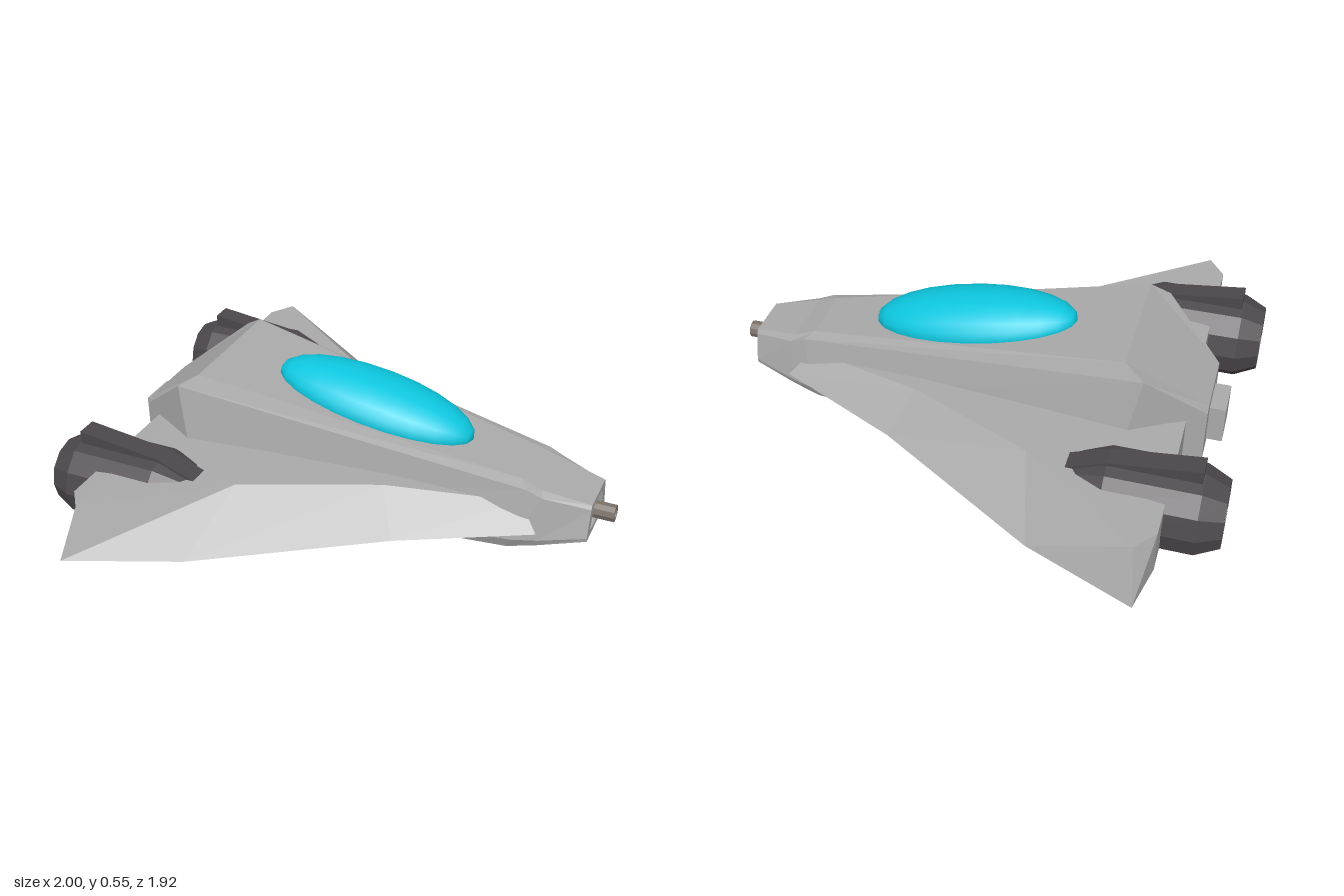
import * as THREE from 'three';

const material = (name, color) => {
  const m = new THREE.MeshStandardMaterial({ color });
  m.name = name;
  return m;
};

// Removes shared vertices so that every face is flat
function faceted(geometry) {
  const g = geometry.index ? geometry.toNonIndexed() : geometry;
  g.computeVertexNormals();
  return g;
}

// Skins a run of closed rings (ordered along +x) and caps both ends
function loft(rings) {
  const out = [];
  const tri = (a, b, c) => out.push(...a, ...b, ...c);
  const n = rings[0].length;
  for (let i = 0; i < rings.length - 1; i++) {
    for (let j = 0; j < n; j++) {
      const k = (j + 1) % n;
      const a = rings[i][j], b = rings[i][k], c = rings[i + 1][k], d = rings[i + 1][j];
      tri(a, b, d);
      tri(b, c, d);
    }
  }
  const first = rings[0], last = rings[rings.length - 1];
  for (let j = 1; j < n - 1; j++) {
    tri(first[0], first[j + 1], first[j]);
    tri(last[0], last[j], last[j + 1]);
  }
  const g = new THREE.BufferGeometry();
  g.setAttribute('position', new THREE.Float32BufferAttribute(out, 3));
  return faceted(g);
}

const flipZ = (ring) => ring.map(([x, y, z]) => [x, y, -z]).reverse();
const symmetric = (half) => [...half, ...flipZ(half)];

export function createModel() {
  const model = new THREE.Group();
  model.name = 'starfighter';
  const grey = material('hull grey', 0xaaaaaa);
  const dark = material('engine dark grey', 0x4c474b);
  const cyan = material('canopy cyan', 0x0cc8e0);
  const brown = material('gun brown grey', 0x7a7068);

  const add = (name, geometry, mat, parent = model) => {
    const mesh = new THREE.Mesh(geometry, mat);
    mesh.name = name;
    parent.add(mesh);
    return mesh;
  };

  // Hull: half sections of top edge, shoulder, waist and bottom edge, tail to nose
  const hull = [
    [[-0.87, 0.31, 0.13], [-0.87, 0.29, 0.155], [-0.87, 0.1, 0.16], [-0.87, 0.06, 0.16]],
    [[-0.57, 0.535, 0.25], [-0.645, 0.485, 0.282], [-0.57, 0.1, 0.335], [-0.57, 0.055, 0.335]],
    [[0.67, 0.318, 0.115], [0.7, 0.3, 0.155], [0.67, 0.1, 0.2], [0.65, 0.055, 0.185]],
    [[0.75, 0.29, 0.12], [0.76, 0.275, 0.15], [0.76, 0.105, 0.175], [0.76, 0.078, 0.165]],
    [[0.93, 0.255, 0.09], [0.93, 0.24, 0.1], [0.93, 0.13, 0.125], [0.93, 0.115, 0.122]],
  ];
  // Nose recess around the gun
  const inset = (x, s) => hull[4].map(([, y, z]) => [x, 0.182 + (y - 0.182) * s, z * s]);
  hull.push(inset(0.93, 0.65), inset(0.87, 0.6));
  add('hull', loft(hull.map(symmetric)), grey);

  // Belly plate, wider at the back
  add('bellyPlate', loft([
    symmetric([[-0.58, 0.07, 0.235], [-0.58, 0.03, 0.235]]),
    symmetric([[0.37, 0.07, 0.125], [0.37, 0.04, 0.125]]),
  ]), grey);

  // Tail block
  const tail = add('tailBlock', new THREE.BoxGeometry(0.13, 0.15, 0.15), grey);
  tail.position.set(-0.865, 0.18, 0);

  // Wings: plateau edge and lower outer edge, back to front
  const wing = [
    [[-0.8, 0.275, 0.78], [-0.8, 0.105, 0.78]],
    [[-0.735, 0.28, 0.865], [-0.76, 0.1, 0.96]],
    [[-0.285, 0.28, 0.515], [-0.355, 0.1, 0.79]],
    [[0.2, 0.27, 0.29], [0.28, 0.115, 0.4]],
    [[0.68, 0.235, 0.14], [0.76, 0.15, 0.2]],
  ].map(([t, b]) => [[t[0], t[1], 0.1], t, b, [b[0], b[1], 0.1]]);
  add('leftWing', loft(wing), grey);
  add('rightWing', loft(wing.map(flipZ)), grey);

  // Engines: radius and position along the axis, from nozzle floor to nose cone
  const profile = [[0, -0.95], [0.085, -0.95], [0.1, -1], [0.125, -1], [0.165, -0.915],
    [0.165, -0.58], [0.06, -0.3], [0, -0.25]].map(([r, x]) => new THREE.Vector2(r, x));
  const engineGeometry = faceted(new THREE.LatheGeometry(profile, 12).rotateZ(-Math.PI / 2));
  const finShape = new THREE.Shape([[-0.91, 0.1], [-0.435, 0.05], [-0.435, 0.11], [-0.58, 0.165],
    [-0.91, 0.205]].map(([x, y]) => new THREE.Vector2(x, y)));
  const finGeometry = new THREE.ExtrudeGeometry(finShape, { depth: 0.08, bevelEnabled: false });
  finGeometry.translate(0, 0, -0.04);
  for (const [name, z] of [['leftEngine', 0.52], ['rightEngine', -0.52]]) {
    const engine = new THREE.Group();
    engine.name = name;
    engine.position.set(0, 0.17, z);
    add('engineBody', engineGeometry, dark, engine);
    add('engineFin', finGeometry, dark, engine);
    model.add(engine);
  }

  // Canopy following the slope of the hull top
  const canopy = add('canopy', new THREE.SphereGeometry(1, 20, 12).rotateZ(Math.PI / 2), cyan);
  canopy.scale.set(0.4, 0.108, 0.168);
  canopy.rotation.z = -0.173;
  canopy.position.set(0.05, 0.43, 0);

  // Nose gun with a hollow muzzle
  const barrel = [[0, 0.85], [0.034, 0.85], [0.034, 1], [0.022, 1], [0.022, 0.96], [0, 0.96]]
    .map(([r, x]) => new THREE.Vector2(r, x));
  const gun = add('noseGun', faceted(new THREE.LatheGeometry(barrel, 10).rotateZ(-Math.PI / 2)), brown);
  gun.position.y = 0.18;

  return model;
}
